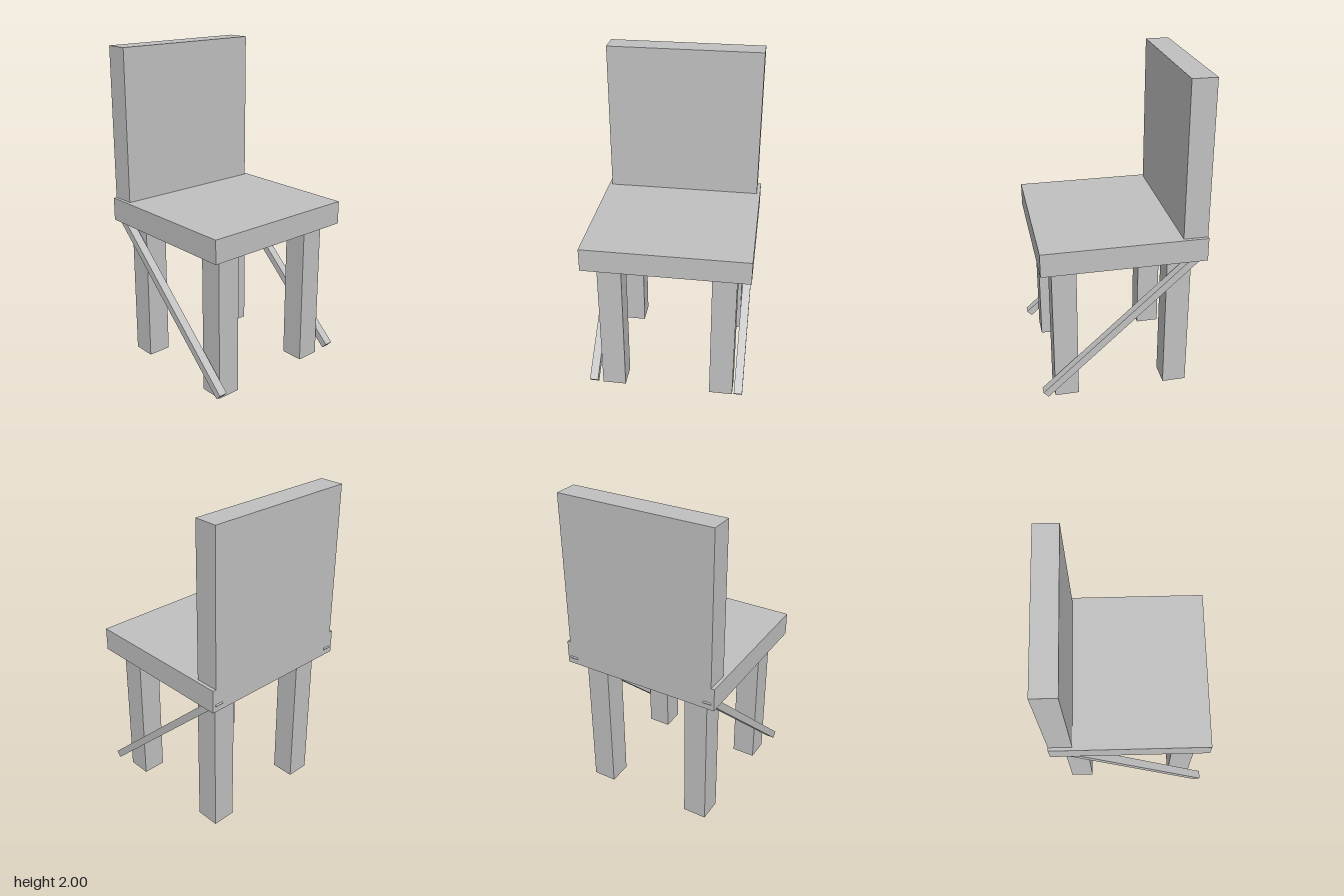
import * as THREE from 'three';

export function createModel() {
  const group = new THREE.Group();
  const grey = new THREE.MeshStandardMaterial({ color: 0xc0c0c0 });
  grey.name = 'grey';

  const box = (name, w, h, d, x, y, z) => {
    const mesh = new THREE.Mesh(new THREE.BoxGeometry(w, h, d), grey);
    mesh.name = name;
    mesh.position.set(x, y, z);
    group.add(mesh);
    return mesh;
  };

  // Seat slab and upright back
  box('seat', 1.01, 0.145, 0.987, 0, 0.983, -0.002);
  box('backrest', 0.968, 0.945, 0.147, 0, 1.5275, -0.422);

  // Diagonal brace runs from low at the front to just through the seat's rear edge
  const low = new THREE.Vector2(0.487, 0.067); // z, y
  const high = new THREE.Vector2(-0.487, 0.967);
  const length = low.distanceTo(high);
  const tilt = Math.atan2(high.y - low.y, low.x - high.x);

  for (const [side, s] of [['left', 1], ['right', -1]]) {
    box(side + 'FrontLeg', 0.148, 0.912, 0.148, s * 0.347, 0.456, 0.347);
    box(side + 'BackLeg', 0.148, 0.912, 0.148, s * 0.347, 0.456, -0.347);
    const brace = box(side + 'Brace', 0.052, 0.045, length,
      s * 0.461, (low.y + high.y) / 2, (low.x + high.x) / 2);
    brace.rotation.x = tilt;
  }
  return group;
}
